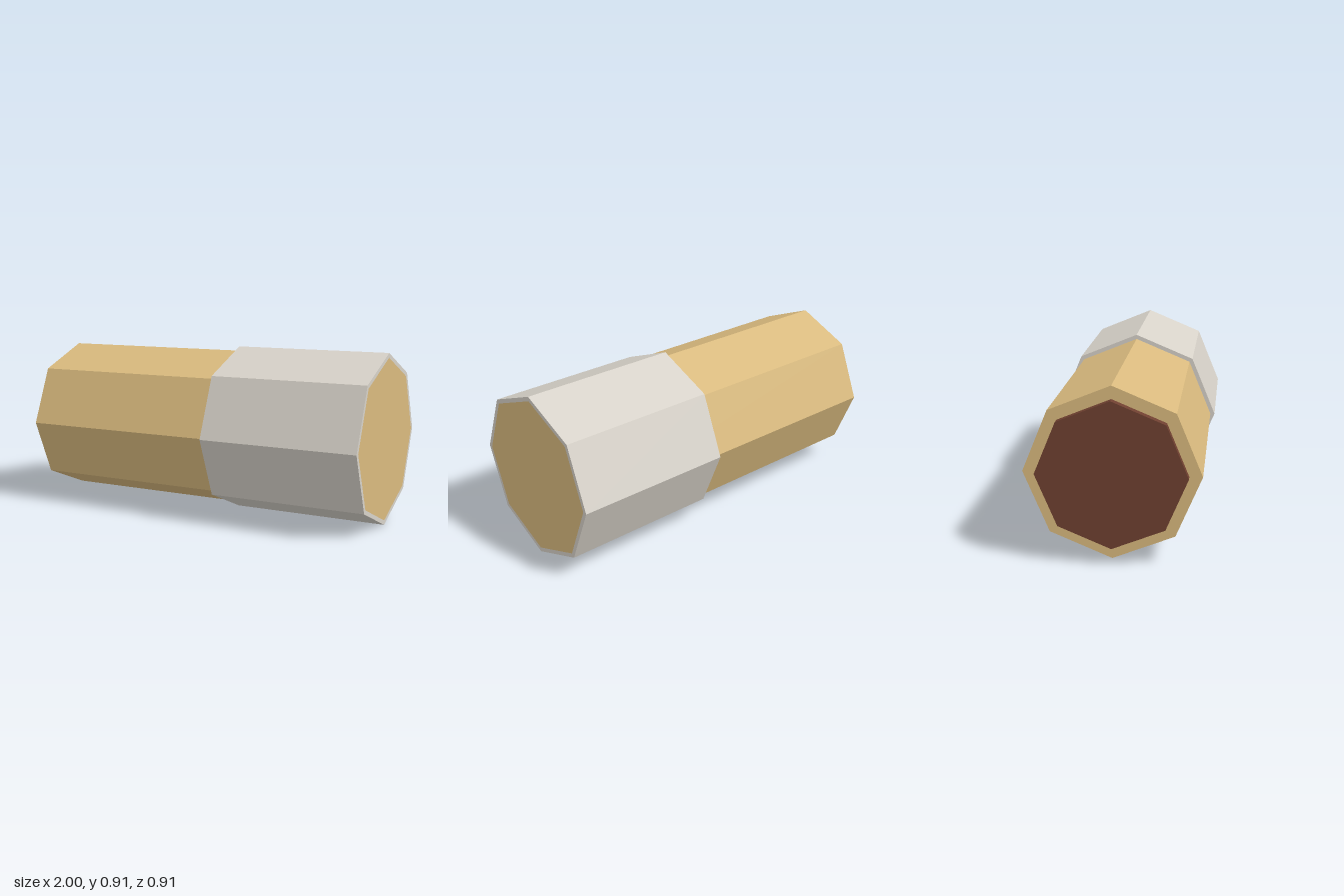
import * as THREE from 'three';

const SIDES = 8;
const CENTER_Y = 0.454;

const tan = new THREE.MeshStandardMaterial({ color: 0xd9ba7e });
tan.name = 'tan';
const offWhite = new THREE.MeshStandardMaterial({ color: 0xd7d2c9 });
offWhite.name = 'off white';
const brown = new THREE.MeshStandardMaterial({ color: 0x6f4030 });
brown.name = 'dark brown';

// Revolves a profile of [radius, x] points into a faceted part lying along x
function facetedPart(name, profile, material) {
  const points = profile.map(([r, x]) => new THREE.Vector2(r, x));
  const geometry = new THREE.LatheGeometry(points, SIDES).toNonIndexed();
  geometry.computeVertexNormals();
  geometry.rotateZ(-Math.PI / 2);
  const mesh = new THREE.Mesh(geometry, material);
  mesh.name = name;
  mesh.position.y = CENTER_Y;
  return mesh;
}

// Closed solid prism from x0 to x1
const solid = (r, x0, x1) => [[0, x0], [r, x0], [r, x1], [0, x1]];

// Hollow collar from x0 to x1
const collar = (outer, inner, x0, x1) =>
  [[outer, x0], [outer, x1], [inner, x1], [inner, x0], [outer, x0]];

export function createModel() {
  const model = new THREE.Group();
  model.name = 'octagonalCylinder';
  model.add(
    // Main barrel, flush with the sleeve at its left end
    facetedPart('barrel', solid(0.43, -0.96, 1), tan),
    // Pale sleeve wrapped around the left end
    facetedPart('sleeve', collar(0.454, 0.43, 0.14, 1), offWhite),
    // Dark plug standing slightly proud of the right end
    facetedPart('endPlug', solid(0.366, -1, -0.94), brown)
  );
  return model;
}
